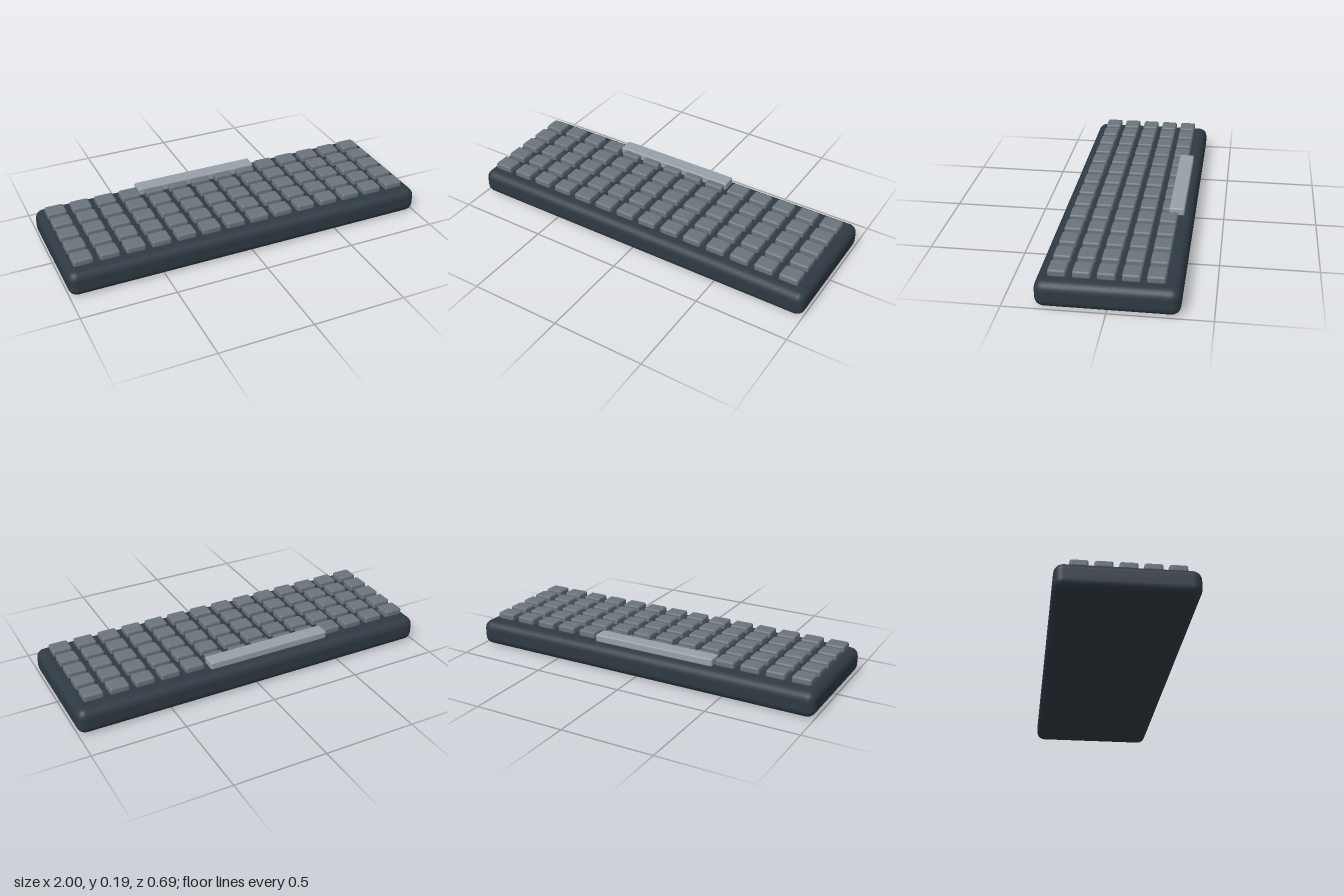
import * as THREE from 'three';
import { RoundedBoxGeometry } from 'three/addons/geometries/RoundedBoxGeometry.js';

export function createModel() {
  const group = new THREE.Group();
  group.name = 'keyboard';

  const material = (name, color) => {
    const m = new THREE.MeshStandardMaterial({ color });
    m.name = name;
    return m;
  };
  const caseColor = material('dark slate', 0x2f3a43);
  const keyColor = material('key grey', 0x6b747c);
  const barColor = material('light grey', 0x98a0a8);

  const add = (name, geometry, mat, x, y, z, parent = group) => {
    const mesh = new THREE.Mesh(geometry, mat);
    mesh.name = name;
    mesh.position.set(x, y, z);
    parent.add(mesh);
  };

  // Rounded case
  add('case', new RoundedBoxGeometry(2, 0.138, 0.69, 3, 0.046), caseColor, 0, 0.069, 0);

  // Five rows of fourteen keycaps
  const keys = new THREE.Group();
  keys.name = 'keys';
  group.add(keys);
  const keyGeometry = new RoundedBoxGeometry(0.104, 0.039, 0.089, 2, 0.011);
  for (let row = 0; row < 5; row++) {
    for (let column = 0; column < 14; column++) {
      add('key', keyGeometry, keyColor, -0.904 + column * 0.1378, 0.158, 0.24 - row * 0.1166, keys);
    }
  }

  // Long bar along the back edge
  add('longBar', new RoundedBoxGeometry(0.695, 0.043, 0.08, 2, 0.009), barColor, -0.088, 0.1635, -0.26);

  return group;
}
